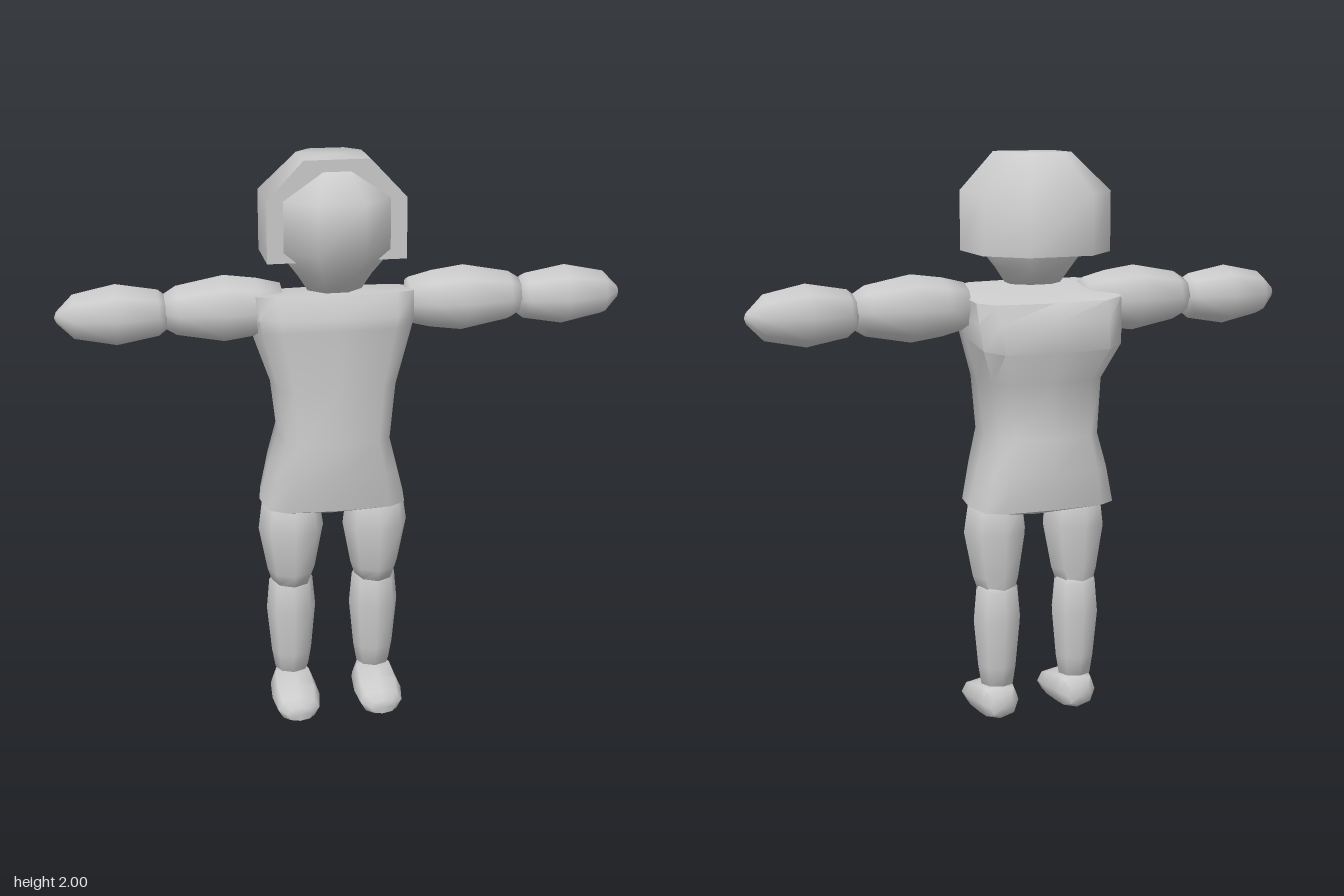
import * as THREE from 'three';
import { toCreasedNormals } from 'three/addons/utils/BufferGeometryUtils.js';

const CX = -0.045; // middle line of head, torso and legs

// Skin through rings of [x, y, z] points stacked along y, closed by a centre point at each end
function loft(rings, bottom, top, crease = 1) {
  const n = rings[0].length;
  const pos = [...rings.flat(), bottom, top];
  const idx = [];
  const lowPole = rings.length * n;
  for (let i = 0; i < n; i++) {
    const j = (i + 1) % n;
    for (let r = 0; r < rings.length - 1; r++) {
      const a = r * n + i, b = r * n + j;
      idx.push(a, a + n, b, b, a + n, b + n);
    }
    const last = (rings.length - 1) * n;
    idx.push(lowPole, i, j, lowPole + 1, last + j, last + i);
  }
  const g = new THREE.BufferGeometry();
  g.setAttribute('position', new THREE.Float32BufferAttribute(pos.flat(), 3));
  g.setIndex(idx);
  g.computeVertexNormals();
  return toCreasedNormals(g, crease);
}

// Rounded ring: power below 1 squares it off, tilt raises the front
function ring(y, cz, rx, rz, { sides = 8, power = 1, tilt = 0, turn = 0, cx = 0 } = {}) {
  const bend = (v) => Math.sign(v) * Math.abs(v) ** power;
  return Array.from({ length: sides }, (_, i) => {
    const a = ((i + turn) / sides) * Math.PI * 2;
    const s = bend(Math.sin(a));
    return [cx + rx * bend(Math.cos(a)), y + tilt * s, cz + rz * s];
  });
}

// Capsule-like limb from [y, centre z, radius x, radius z] sections
function limb(sections, lowY, highY) {
  return loft(
    sections.map((s) => ring(...s)),
    [0, lowY, sections[0][1]],
    [0, highY, sections.at(-1)[1]],
    1.2,
  );
}

export function createModel() {
  const model = new THREE.Group();
  const material = new THREE.MeshStandardMaterial({ color: 0xcccccc });
  const add = (name, geometry, x = 0, y = 0) => {
    const mesh = new THREE.Mesh(geometry, material);
    mesh.name = name;
    mesh.position.set(x, y, 0);
    model.add(mesh);
  };

  // Torso with flared hem and broad squared shoulders
  const torso = [
    // y, front z, back z, half width, tilt
    [0.79, 0.155, -0.17, 0.257, 0],
    [0.92, 0.175, -0.185, 0.225, 0],
    [1.04, 0.18, -0.17, 0.193, 0],
    [1.23, 0.165, -0.145, 0.215, 0],
    [1.39, 0.18, -0.21, 0.27, 0.05],
    [1.46, 0.18, -0.19, 0.28, 0.02],
    [1.53, 0.14, -0.165, 0.285, 0.025],
  ].map(([y, f, b, w, tilt]) =>
    ring(y, (f + b) / 2, w, (f - b) / 2, { sides: 12, power: 0.5, tilt }));
  add('torso', loft(torso, [0, 0.73, 0.02], [0, 1.56, 0.03], 0.95), CX);

  // Head: a faceted ball narrowing to the chin
  const head = [
    [1.555, 0.115, -0.04, 0.09],
    [1.61, 0.14, -0.075, 0.125],
    [1.7, 0.215, -0.13, 0.19],
    [1.87, 0.215, -0.13, 0.19],
    [1.96, 0.13, -0.05, 0.1],
  ].map(([y, f, b, w]) => {
    const k = 1 / Math.cos(Math.PI / 8);
    return ring(y, (f + b) / 2, w * k, ((f - b) / 2) * k, { turn: 0.5 });
  });
  add('head', loft(head, [0, 1.55, 0.04], [0, 1.97, 0.04], 1.2), CX);

  // Hair: flat-fronted cap with a rounded back and a hollowed underside
  const hairRing = (y, w, front, side, backW, back) => [
    [w, y, side], [w, y, front], [-w, y, front], [-w, y, side], [-backW, y, back], [backW, y, back],
  ];
  const hair = loft(
    [
      hairRing(1.72, 0.18, 0.12, -0.06, 0.09, -0.13),
      hairRing(1.665, 0.233, 0.125, -0.095, 0.115, -0.215),
      hairRing(1.87, 0.233, 0.125, -0.095, 0.115, -0.215),
      hairRing(2.0, 0.11, 0.125, -0.04, 0.06, -0.095),
    ],
    [0, 1.74, 0],
    [0, 2.0, 0.02],
    1.1,
  );
  add('hair', hair, CX);

  for (const side of [1, -1]) {
    const label = side > 0 ? 'left' : 'right';

    // Arms stretched straight out
    const upperArm = limb([
      [0.22, 0, 0.08, 0.08], [0.3, 0, 0.1, 0.1], [0.41, 0, 0.115, 0.113],
      [0.57, 0, 0.085, 0.085], [0.61, 0, 0.06, 0.06],
    ], 0.2, 0.615);
    const forearm = limb([
      [0.605, 0, 0.06, 0.06], [0.63, 0, 0.08, 0.08], [0.77, 0, 0.105, 0.105],
      [0.91, 0, 0.076, 0.076], [0.965, 0, 0.02, 0.02],
    ], 0.6, 0.973);
    add(label + 'UpperArm', upperArm.rotateZ((-side * Math.PI) / 2), 0, 1.49);
    add(label + 'Forearm', forearm.rotateZ((-side * Math.PI) / 2), 0, 1.485);

    // Legs
    const legX = CX + side * 0.15;
    add(label + 'Thigh', limb([
      [0.485, 0.012, 0.07, 0.085], [0.53, 0.015, 0.085, 0.095], [0.69, 0.02, 0.115, 0.116],
      [0.8, 0.015, 0.1, 0.1], [0.835, 0.015, 0.05, 0.07],
    ], 0.475, 0.845), legX);
    add(label + 'Shin', limb([
      [0.13, 0, 0.06, 0.06], [0.2, 0, 0.072, 0.07], [0.37, 0, 0.088, 0.088],
      [0.48, 0, 0.078, 0.078], [0.51, 0, 0.06, 0.065],
    ], 0.115, 0.52), legX);

    // Foot lofted from heel to toe, then laid forward
    const foot = [
      // z, height of top, height of sole, half width
      [-0.055, 0.09, 0.015, 0.045],
      [-0.03, 0.125, 0, 0.07],
      [0.01, 0.13, 0, 0.08],
      [0.1, 0.11, 0, 0.086],
      [0.17, 0.085, 0, 0.075],
      [0.2, 0.06, 0.008, 0.045],
    ].map(([z, top, sole, w]) =>
      ring(z, -(top + sole) / 2, w, (top - sole) / 2, { power: 0.8 }));
    add(label + 'Foot',
      loft(foot, [0, -0.06, -0.05], [0, 0.203, -0.035]).rotateX(Math.PI / 2), legX);
  }
  return model;
}
